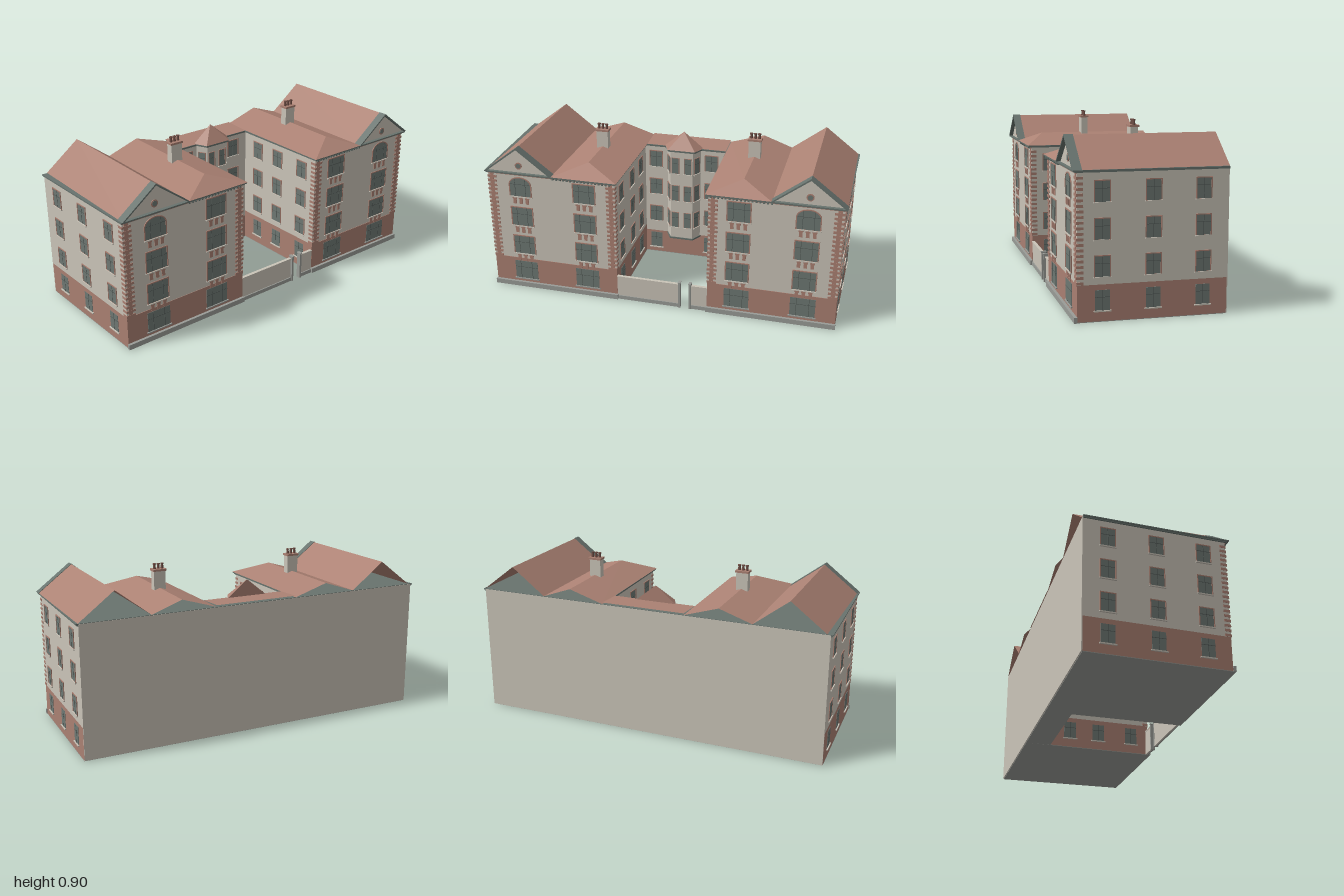
import * as THREE from 'three';

const mat = (name, color) => {
  const m = new THREE.MeshStandardMaterial({ color });
  m.name = name;
  return m;
};

export function createModel() {
  const M = {
    render: mat('render wall', 0xcac4b8),
    brick: mat('brick', 0xaa8072),
    roof: mat('roof tile', 0xac8274),
    glass: mat('window glass', 0x6e7873),
    slate: mat('slate trim', 0x68736e),
    stone: mat('plinth stone', 0x9a9c97),
    bar: mat('glazing bar', 0x4f5754),
    pot: mat('chimney pot', 0x704f46),
  };
  M.roof.side = THREE.DoubleSide;
  M.render.side = THREE.DoubleSide;

  const root = new THREE.Group();
  root.name = 'courtyardBuilding';

  const add = (parent, name, geo, m) => {
    const mesh = new THREE.Mesh(geo, m);
    mesh.name = name;
    parent.add(mesh);
    return mesh;
  };
  // box given by its min and max corners
  const box = (parent, name, m, x0, x1, y0, y1, z0, z1) => {
    const b = add(parent, name, new THREE.BoxGeometry(x1 - x0, y1 - y0, z1 - z0), m);
    b.position.set((x0 + x1) / 2, (y0 + y1) / 2, (z0 + z1) / 2);
    return b;
  };
  // plan polygon of [x, z] raised from y0 to y1
  const slab = (name, m, pts, y0, y1) => {
    const s = new THREE.Shape(pts.map(([x, z]) => new THREE.Vector2(x, -z)));
    const g = new THREE.ExtrudeGeometry(s, { depth: y1 - y0, bevelEnabled: false });
    g.rotateX(-Math.PI / 2).translate(0, y0, 0);
    return add(root, name, g, m);
  };
  // flat sheets, each a list of corners
  const sheets = (name, m, polys) => {
    const v = [];
    for (const p of polys)
      for (let i = 1; i < p.length - 1; i++) v.push(...p[0], ...p[i], ...p[i + 1]);
    const g = new THREE.BufferGeometry();
    g.setAttribute('position', new THREE.Float32BufferAttribute(v, 3));
    g.computeVertexNormals();
    return add(root, name, g, m);
  };

  // --- walls: brick ground floor, rendered upper floors ---
  const B = -0.375, F = 0.355, C = -0.235;
  const plans = {
    leftWing: [[-0.988, B], [-0.235, B], [-0.235, F], [-0.967, F]],
    rightWing: [[0.262, B], [0.988, B], [0.977, F], [0.278, F]],
    centre: [[-0.235, B], [0.262, B], [0.262, C], [-0.235, C]],
  };
  for (const [n, p] of Object.entries(plans)) {
    const split = n === 'centre' ? 0.145 : 0.178;
    slab(n + 'Base', M.stone, p, 0, 0.003);
    slab(n + 'GroundFloor', M.brick, p, 0.003, split);
    slab(n + 'UpperFloors', M.render, p, split, 0.706);
  }
  box(root, 'backWall', M.render, -0.988, 0.988, 0.003, 0.712, -0.38, B);
  const bay = (e) => [[-0.1 - e, C], [0.1 + e, C], [0.066 + e, -0.175 + e], [-0.066 - e, -0.175 + e]];
  slab('bayWalls', M.render, bay(0), 0.14, 0.706);
  slab('bayFoot', M.slate, bay(0.004), 0.136, 0.146);

  // --- cornice following the whole plan ---
  const cornice = (e) => [[-0.988 - e, -0.379], [0.988 + e, -0.379], [0.977 + e, F + e * 1.6], [0.278 - e, F + e * 1.6],
    [0.262 - e, C + e], [-0.235 + e, C + e], [-0.235 + e, F + e * 1.6], [-0.967 - e, F + e * 1.6]];
  slab('corniceLower', M.slate, cornice(0.007), 0.702, 0.708);
  slab('corniceUpper', M.slate, cornice(0.012), 0.708, 0.714);
  slab('bayCornice', M.slate, bay(0.012), 0.704, 0.714);

  // --- roofs ---
  const E = 0.715, R = 0.86, zb = -0.38, zf = 0.372;
  for (const [side, c] of [['left', -0.78], ['right', 0.8]]) {
    const a = c - 0.19, b = c + 0.19;
    sheets(side + 'GableRoof', M.roof, [
      [[a, E, zf], [c, R, zf], [c, R, zb], [a, E, zb]],
      [[c, R, zf], [b, E, zf], [b, E, zb], [c, R, zb]],
    ]);
    sheets(side + 'GableWall', M.render, [[[a, E - 0.003, F], [b, E - 0.003, F], [c, R - 0.003, F]]]);
    // coping along the front verge
    const s = new THREE.Shape();
    [[a - 0.004, E], [a + 0.008, E], [c, R - 0.007], [b - 0.008, E], [b + 0.004, E], [c, R + 0.003]]
      .forEach(([x, y], i) => (i ? s.lineTo(x, y) : s.moveTo(x, y)));
    add(root, side + 'GableCoping', new THREE.ExtrudeGeometry(s, { depth: 0.045, bevelEnabled: false }), M.slate)
      .position.z = 0.333;
    // round attic window
    for (const [n, m, r, z] of [['Surround', M.brick, 0.02, F + 0.002], ['Glass', M.glass, 0.014, F + 0.004]]) {
      const d = add(root, side + 'RoundWindow' + n, new THREE.CylinderGeometry(r, r, 0.004, 20), m);
      d.rotation.x = Math.PI / 2;
      d.position.set(c, 0.753, z);
    }
  }
  const hip = (name, a, af, b, bf, c) => sheets(name, M.roof, [
    [[af, E, 0.376], [bf, E, 0.376], [c, 0.775, 0.26]],
    [[a, E, zb], [af, E, 0.376], [c, 0.775, 0.26], [c, 0.775, zb]],
    [[b, E, zb], [c, 0.775, zb], [c, 0.775, 0.26], [bf, E, 0.376]],
  ]);
  hip('leftHipRoof', -0.59, -0.59, -0.22, -0.22, -0.41);
  hip('rightHipRoof', 0.61, 0.61, 0.25, 0.262, 0.445);
  sheets('centreRoof', M.roof, [[[-0.22, E + 0.001, -0.222], [0.25, E + 0.001, -0.222], [0.25, 0.724, zb], [-0.22, 0.724, zb]]]);
  const rim = bay(0.015).map(([x, z]) => [x, E, z]), apex = [0, 0.808, -0.235];
  sheets('bayRoof', M.roof, [0, 1, 2, 3].map((i) => [rim[i], apex, rim[(i + 1) % 4]]));

  // --- chimneys ---
  for (const [side, x, z] of [['left', -0.412, 0.002], ['right', 0.443, -0.063]]) {
    const g = new THREE.Group();
    g.name = side + 'Chimney';
    g.position.set(x, 0, z);
    root.add(g);
    box(g, 'stack', M.render, -0.033, 0.033, 0.72, 0.866, -0.02, 0.02);
    box(g, 'cap', M.brick, -0.038, 0.038, 0.865, 0.876, -0.025, 0.025);
    for (const dx of [-0.022, 0, 0.022]) {
      add(g, 'pot', new THREE.CylinderGeometry(0.006, 0.008, 0.03, 10), M.pot).position.set(dx, 0.889, 0);
      add(g, 'potRim', new THREE.CylinderGeometry(0.009, 0.009, 0.006, 10), M.pot).position.set(dx, 0.902, 0);
    }
  }

  // --- windows: built facing +z with the sill centre at the origin ---
  const pane = (w, h, arch) => {
    const s = new THREE.Shape();
    s.moveTo(-w / 2, 0);
    s.lineTo(w / 2, 0);
    s.lineTo(w / 2, h - arch);
    if (arch) s.absellipse(0, h - arch, w / 2, arch, 0, Math.PI, false);
    else s.lineTo(w / 2, h), s.lineTo(-w / 2, h);
    s.lineTo(-w / 2, 0);
    return s;
  };
  const windowUnit = (x, y, z, rot, w, h, { trim = 0.006, arch = 0, bars = [0], drops = false, sill = M.render } = {}) => {
    const g = new THREE.Group();
    g.name = 'window';
    g.position.set(x, y, z);
    g.rotation.y = rot;
    root.add(g);
    const ex = (depth) => ({ depth, bevelEnabled: false, curveSegments: 10 });
    add(g, 'glass', new THREE.ExtrudeGeometry(pane(w, h, arch), ex(0.002)), M.glass);
    if (trim) {
      const o = pane(w + trim * 2, h + trim, arch && arch + trim);
      o.holes.push(pane(w, h, arch));
      add(g, 'surround', new THREE.ExtrudeGeometry(o, ex(0.004)), M.brick);
    }
    for (const bx of bars) box(g, 'mullion', M.bar, bx - 0.0012, bx + 0.0012, 0, h - arch * 0.15, 0, 0.003);
    box(g, 'transom', M.bar, -w / 2, w / 2, h * 0.64, h * 0.64 + 0.0024, 0, 0.003);
    box(g, 'sill', sill, -w / 2 - 0.007, w / 2 + 0.007, -0.006, 0, 0, 0.008);
    if (drops) for (const dx of [-0.036, 0, 0.036]) {
      box(g, 'apronBlock', M.brick, dx - 0.009, dx + 0.009, -0.045, -0.006, 0, 0.004);
      box(g, 'apronHead', M.brick, dx - 0.012, dx + 0.012, -0.016, -0.006, 0, 0.005);
    }
  };
  // windows on a wall running left to right (seen from outside) from a to b
  const rows = [0.055, 0.215, 0.39, 0.565];
  const wallWindows = (a, b, fractions, w, list, opts) => {
    const dx = b[0] - a[0], dz = b[1] - a[1], rot = Math.atan2(-dz, dx);
    for (const t of fractions) for (const y of list)
      windowUnit(a[0] + dx * t, y, a[1] + dz * t, rot, w, 0.097, { ...opts, trim: y < 0.1 ? 0 : (opts?.trim ?? 0.005) });
  };
  const [l0, l1, l2, l3] = plans.leftWing, [r0, r1, r2, r3] = plans.rightWing;
  const at = (z) => (z - B) / (F - B);
  const zs = [0.235, -0.01, -0.255], inner = [0.25, 0.05, -0.12];
  wallWindows(r2, r1, zs.map((z) => 1 - at(z)), 0.07, rows);
  wallWindows(l0, l3, zs.map(at), 0.07, rows);
  wallWindows(l2, l1, inner.map((z) => 1 - at(z)), 0.07, rows);
  wallWindows(r0, r3, inner.map(at), 0.07, rows);
  wallWindows([-0.235, C], [0.262, C], [0.13, 0.805], 0.072, [0.035, 0.215, 0.395, 0.573]);
  const bp = bay(0), upper = rows.slice(1);
  wallWindows(bp[3], bp[2], [0.22, 0.78], 0.04, upper, { trim: 0.003, bars: [] });
  wallWindows(bp[0], bp[3], [0.5], 0.042, upper, { trim: 0.003, bars: [] });
  wallWindows(bp[2], bp[1], [0.5], 0.042, upper, { trim: 0.003, bars: [] });

  // street front windows, arched on the top floor below the gables
  for (const [x, gable] of [[-0.78, 1], [-0.41, 0], [0.44, 0], [0.8, 1]]) {
    windowUnit(x, 0.05, F, 0, 0.136, 0.11, { trim: 0, bars: [-0.034, 0.034], sill: M.stone });
    [0.212, 0.39, 0.57].forEach((y, i) =>
      windowUnit(x, y, F, 0, 0.12, 0.11, { arch: gable && i === 2 ? 0.042 : 0, bars: [-0.03, 0.03], drops: true }));
  }

  // --- street front: plinth, brick band, quoins and dentils ---
  for (const [side, a, b] of [['left', -0.967, -0.235], ['right', 0.278, 0.977]]) {
    box(root, side + 'Plinth', M.stone, a - 0.004, b + 0.004, 0, 0.028, F, 0.37);
    box(root, side + 'BrickBand', M.brick, a, b, 0.696, 0.702, F, F + 0.004);
    box(root, side + 'FloorBand', M.brick, a, b, 0.174, 0.18, F, F + 0.003);
    for (let i = 0; i < 40; i++) {
      const w = i % 2 ? 0.034 : 0.05, y = 0.18 + i * 0.0129;
      if (i % 2 === 0) {
        box(root, 'quoin', M.brick, a - 0.002, a + w, y, y + 0.0129, F - 0.03, F + 0.004);
        box(root, 'quoin', M.brick, b - w, b + 0.002, y, y + 0.0129, F - 0.03, F + 0.004);
      } else {
        box(root, 'quoinInner', M.brick, a + 0.012, a + w, y, y + 0.0129, F, F + 0.003);
        box(root, 'quoinInner', M.brick, b - w, b - 0.012, y, y + 0.0129, F, F + 0.003);
      }
    }
    const d0 = side === 'left' ? -0.585 : 0.285;
    for (let i = 0; i < 17; i++)
      box(root, 'dentil', M.slate, d0 + i * 0.02, d0 + i * 0.02 + 0.009, 0.695, 0.703, F, 0.368);
  }

  // --- courtyard wall with gate piers ---
  for (const [a, b] of [[-0.235, 0.122], [0.186, 0.278]]) {
    box(root, 'courtyardWall', M.render, a, b, 0, 0.138, 0.343, 0.354);
    box(root, 'courtyardWallCoping', M.render, a, b, 0.138, 0.144, 0.34, 0.358);
    box(root, 'courtyardWallPlinth', M.stone, a, b, 0, 0.022, 0.354, 0.36);
  }
  for (const x of [0.124, 0.184]) {
    box(root, 'gatePier', M.stone, x - 0.006, x + 0.006, 0, 0.155, 0.342, 0.366);
    box(root, 'gatePierCap', M.stone, x - 0.008, x + 0.008, 0.155, 0.16, 0.34, 0.369);
  }
  return root;
}
